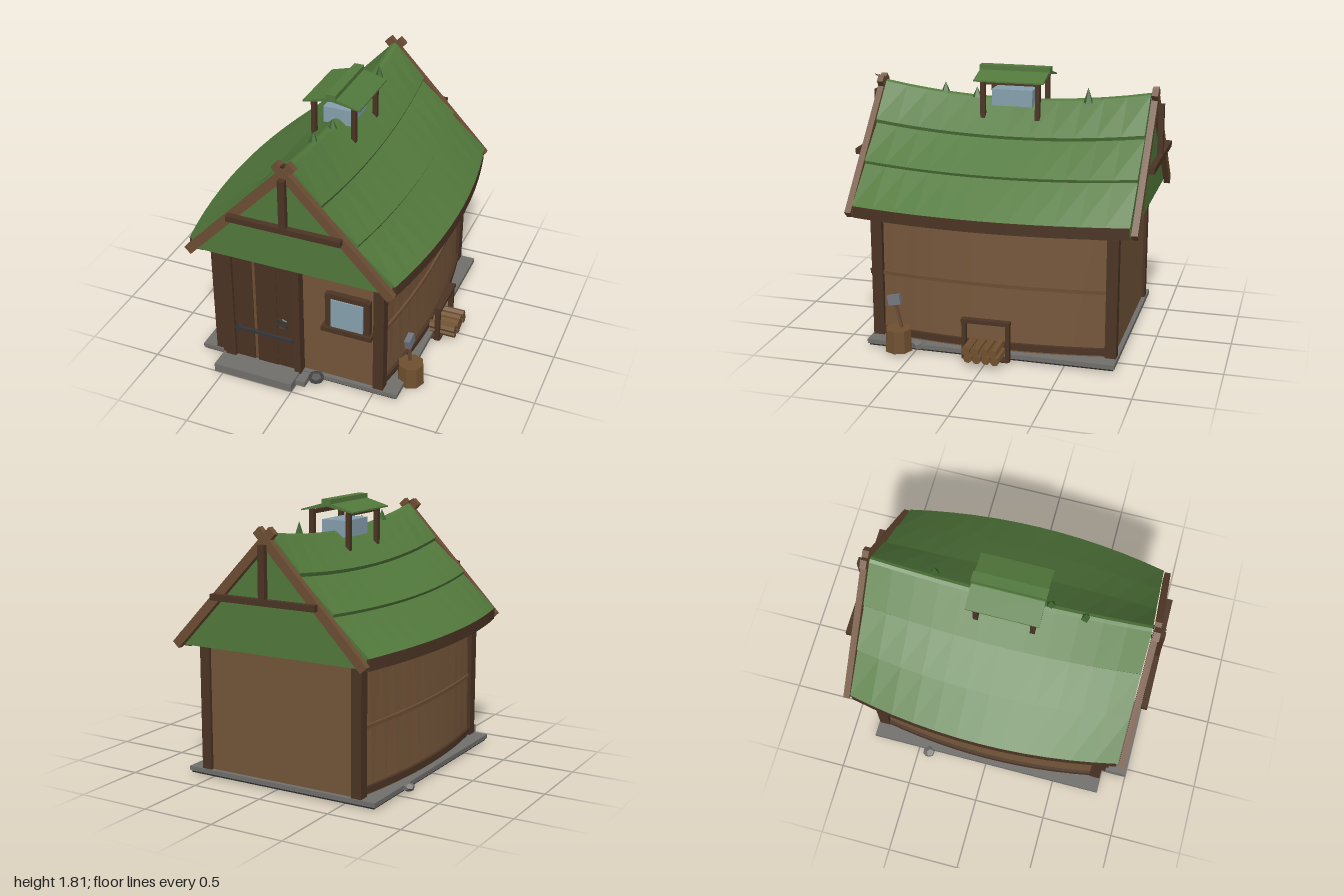
import * as THREE from 'three';

const mat = (color) => new THREE.MeshStandardMaterial({ color, flatShading: true, roughness: 0.9 });
const M = {
  moss: mat(0x52793c), mossDark: mat(0x3f6630), wall: mat(0x745539), timber: mat(0x4b3424),
  light: mat(0x6d4e34), door: mat(0x493223), stone: mat(0x716f6c), rock: mat(0x4a4a4a),
  under: mat(0x2b2a2a), glass: mat(0x86a0ae), iron: mat(0x33363a), log: mat(0x70502f), steel: mat(0x70747c),
};

function add(parent, name, geo, material, x = 0, y = 0, z = 0) {
  const m = new THREE.Mesh(geo, material);
  m.name = name;
  m.position.set(x, y, z);
  parent.add(m);
  return m;
}

// box given by its min/max on each axis
function box(parent, name, material, x0, x1, y0, y1, z0, z1) {
  return add(parent, name, new THREE.BoxGeometry(x1 - x0, y1 - y0, z1 - z0), material,
    (x0 + x1) / 2, (y0 + y1) / 2, (z0 + z1) / 2);
}

// straight beam between two points
function beam(parent, name, material, a, b, w, d) {
  const p = new THREE.Vector3(...a), q = new THREE.Vector3(...b), dir = q.clone().sub(p);
  const m = add(parent, name, new THREE.BoxGeometry(w, dir.length(), d), material);
  m.position.copy(p).add(q).multiplyScalar(0.5);
  m.quaternion.setFromUnitVectors(new THREE.Vector3(0, 1, 0), dir.normalize());
  return m;
}

// closed loft along z; section(u) gives a counterclockwise [x, y] outline, u from -1 to 1
function loft(section, zHalf, steps, centre) {
  const pos = [], idx = [];
  let n = 0;
  for (let i = 0; i <= steps; i++) {
    const u = -1 + (2 * i) / steps, s = section(u);
    n = s.length;
    s.forEach(([x, y]) => pos.push(x, y, u * zHalf));
  }
  for (let i = 0; i < steps; i++) for (let j = 0; j < n; j++) {
    const a = i * n + j, b = i * n + (j + 1) % n;
    idx.push(a, b, a + n, b, b + n, a + n);
  }
  [-1, 1].forEach((u) => {
    const c = pos.length / 3, base = u < 0 ? 0 : steps * n;
    const [cx, cy] = centre(u);
    pos.push(cx, cy, u * zHalf);
    for (let j = 0; j < n; j++) {
      const a = base + j, b = base + (j + 1) % n;
      if (u > 0) idx.push(c, a, b); else idx.push(c, b, a);
    }
  });
  const g = new THREE.BufferGeometry();
  g.setAttribute('position', new THREE.Float32BufferAttribute(pos, 3));
  g.setIndex(idx);
  const flat = g.toNonIndexed();
  flat.computeVertexNormals();
  return flat;
}

const eaveHalf = (u) => 0.8 - 0.1 * u * u;
const ridgeY = (u) => 1.59 + 0.08 * u * u;
const wallHalf = (u, y) => {
  const bow = 1 - u * u, t = y / 0.9;
  return (0.57 + 0.085 * bow) * (1 - t) + (0.555 + 0.038 * bow) * t;
};

// sagging roof with two overlapping courses on each slope
function roofSection(u) {
  const h = eaveHalf(u), r = ridgeY(u) - 0.97;
  const half = [[1, 0], [0.645, 0.315], [0.655, 0.345], [0.315, 0.635], [0.325, 0.67], [0.03, 0.985]]
    .map(([a, b]) => [a * h, 0.97 + b * r]);
  const right = [[h - 0.02, 0.9], [h - 0.02, 0.965], ...half];
  const left = right.map(([x, y]) => [-x, y]).reverse();
  return [...right, [0, ridgeY(u)], ...left];
}

function buildRoof(house) {
  add(house, 'roof', loft(roofSection, 0.905, 12, () => [0, 0.905]), M.moss);
  const fascia = loft((u) => {
    const h = eaveHalf(u);
    return [[h - 0.09, 0.893], [h, 0.893], [h, 0.968], [h - 0.09, 0.968]];
  }, 0.9, 12, (u) => [eaveHalf(u) - 0.045, 0.93]);
  for (const s of [1, -1]) add(house, 'eaveBoard', fascia, M.timber).scale.x = s;
  // gable trusses front and back
  for (const s of [1, -1]) {
    const z = 0.935 * s;
    for (const k of [1, -1])
      beam(house, 'bargeBoard', M.light, [0.69 * k, 0.905, z], [-0.055 * k, 1.685, z + 0.003 * k], 0.06, 0.042);
    box(house, 'collarBeam', M.timber, -0.38, 0.38, 1.23, 1.27, 0.978 * s - 0.02, 0.978 * s + 0.02);
    box(house, 'kingPost', M.timber, -0.023, 0.023, 1.27, 1.6, 0.975 * s - 0.018, 0.975 * s + 0.018);
    for (const k of [1, -1])
      box(house, 'ridgePeg', M.timber, 0.03 * k - 0.008, 0.03 * k + 0.008, 1.605, 1.63, 0.88 * s - 0.05, 0.88 * s + 0.05);
  }
  const finial = add(house, 'finial', new THREE.ConeGeometry(0.02, 0.08, 5), M.timber, 0, 1.685, 0.96);
  finial.rotation.x = 1.1;
  // grass tufts on the ridge
  for (const [x, y, z, h] of [[-0.01, 1.635, 0.49, 0.075], [0.02, 1.62, 0.26, 0.07], [0.04, 1.64, -0.5, 0.1]])
    add(house, 'grassTuft', new THREE.ConeGeometry(0.033, h, 5), M.mossDark, x, y, z);
}

function buildCupola(house) {
  const c = new THREE.Group();
  c.name = 'cupola';
  house.add(c);
  for (const x of [-0.138, 0.138]) {
    for (const z of [-0.185, 0.185]) box(c, 'cupolaPost', M.timber, x - 0.016, x + 0.016, 1.44, 1.73, z - 0.016, z + 0.016);
    box(c, 'cupolaRail', M.timber, x - 0.014, x + 0.014, 1.7, 1.727, -0.2, 0.2);
  }
  box(c, 'cupolaGlass', M.glass, -0.095, 0.095, 1.55, 1.66, -0.137, 0.137);
  const top = () => [[0.195, 1.722], [0.195, 1.732], [0.04, 1.775], [-0.04, 1.775], [-0.195, 1.732], [-0.195, 1.722], [0, 1.758]];
  add(c, 'cupolaRoof', loft(top, 0.235, 1, () => [0, 1.765]), M.moss);
  box(c, 'cupolaRidge', M.moss, -0.034, 0.034, 1.762, 1.806, -0.24, 0.24);
}

function buildWalls(house) {
  const section = (u) => {
    const b = wallHalf(u, 0.05), t = wallHalf(u, 0.9);
    return [[b, 0.05], [t, 0.91], [-t, 0.91], [-b, 0.05]];
  };
  add(house, 'walls', loft(section, 0.8, 12, () => [0, 0.5]), M.wall);
  // bowed rails along both side walls
  for (const [y0, y1, d, m] of [[0.07, 0.115, 0.02, M.timber], [0.478, 0.503, 0.014, M.light], [0.84, 0.89, 0.02, M.timber]]) {
    const rail = loft((u) => {
      const w = wallHalf(u * 0.95, (y0 + y1) / 2);
      return [[w - 0.03, y0], [w + d, y0], [w + d, y1], [w - 0.03, y1]];
    }, 0.76, 12, (u) => [wallHalf(u * 0.95, y0), (y0 + y1) / 2]);
    for (const s of [1, -1]) add(house, 'wallRail', rail, m).scale.x = s;
  }
  for (const x of [-0.565, 0.565]) for (const z of [-0.785, 0.785])
    box(house, 'cornerPost', M.timber, x - 0.035, x + 0.035, 0.05, 0.91, z - 0.037, z + 0.037);
  // foundation
  box(house, 'foundation', M.stone, -0.7, 0.7, 0.025, 0.055, -0.83, 0.83);
  box(house, 'foundationBottom', M.under, -0.69, 0.69, 0.012, 0.026, -0.82, 0.82);
}

function buildFront(g) {
  // door planks and frame
  const planks = [[-0.47, -0.33, 0.845], [-0.33, -0.305, 0.838], [-0.305, -0.16, 0.848], [-0.16, -0.03, 0.843]];
  planks.forEach(([a, b, z], i) => box(g, 'doorPlank', i === 1 ? M.light : M.door, a, b, 0.055, 0.895, 0.79, z));
  box(g, 'doorPost', M.timber, -0.565, -0.535, 0.05, 0.9, 0.79, 0.85);
  box(g, 'doorPost', M.timber, -0.54, -0.465, 0.05, 0.9, 0.79, 0.868);
  box(g, 'doorPost', M.timber, -0.035, 0.01, 0.05, 0.9, 0.79, 0.868);
  // iron fittings
  box(g, 'hingeStrap', M.iron, -0.45, -0.045, 0.288, 0.308, 0.84, 0.862);
  const diamond = box(g, 'hingePlate', M.iron, -0.457, -0.417, 0.278, 0.318, 0.84, 0.865);
  diamond.rotation.z = Math.PI / 4;
  add(g, 'doorRing', new THREE.TorusGeometry(0.036, 0.008, 5, 8), M.iron, -0.115, 0.42, 0.856);
  // window
  box(g, 'windowPane', M.glass, 0.22, 0.44, 0.5, 0.71, 0.79, 0.85);
  for (const x of [0.2, 0.46]) box(g, 'windowJamb', M.timber, x - 0.022, x + 0.022, 0.485, 0.74, 0.79, 0.84);
  box(g, 'windowHead', M.timber, 0.2, 0.46, 0.71, 0.745, 0.79, 0.84);
  box(g, 'windowSill', M.timber, 0.155, 0.5, 0.457, 0.49, 0.79, 0.86);
  // door step
  box(g, 'doorStep', M.stone, -0.56, 0, 0, 0.06, 0.8, 1);
  box(g, 'sideStep', M.stone, -0.02, 0.065, 0.005, 0.045, 0.8, 0.93);
}

function buildYard(g) {
  // chopping block with hatchet
  add(g, 'choppingBlock', new THREE.CylinderGeometry(0.085, 0.093, 0.15, 8), M.log, 0.685, 0.09, 0.605);
  beam(g, 'hatchetHandle', M.light, [0.67, 0.16, 0.585], [0.68, 0.37, 0.63], 0.018, 0.018);
  const head = box(g, 'hatchetHead', M.steel, 0.658, 0.698, 0.325, 0.39, 0.585, 0.67);
  head.rotation.set(0.2, 0, 0.1);
  // firewood rack
  for (const z of [-0.145, 0.145]) box(g, 'rackPost', M.timber, 0.693, 0.727, 0.02, 0.285, z - 0.014, z + 0.014);
  box(g, 'rackRail', M.timber, 0.69, 0.735, 0.268, 0.293, -0.16, 0.16);
  box(g, 'rackBase', M.timber, 0.62, 0.735, 0.02, 0.036, -0.15, 0.15);
  const log = new THREE.CylinderGeometry(0.03, 0.03, 0.18, 7).rotateZ(Math.PI / 2);
  for (let row = 0; row < 2; row++) for (let i = 0; i < 4; i++)
    add(g, 'firewood', log, M.log, 0.735 + 0.005 * (i % 2), 0.064 + row * 0.048, 0.09 - i * 0.06 + row * 0.014).rotation.x = i;
  // loose rocks
  const rocks = [[0.125, 0.065, 0.875, 0.055], [0.67, 0.055, 0.47, 0.05], [-0.745, 0.04, -0.42, 0.045]];
  rocks.forEach(([x, y, z, r], i) => {
    const m = add(g, 'rock', new THREE.DodecahedronGeometry(r), i === 0 ? M.rock : M.stone, x, y, z);
    m.scale.set(1, 0.65, 1);
    m.rotation.y = i + 0.4;
  });
}

export function createModel() {
  const model = new THREE.Group();
  model.name = 'cottage';
  const house = new THREE.Group();
  house.name = 'house';
  house.position.x = -0.03;
  model.add(house);
  buildRoof(house);
  buildCupola(house);
  buildWalls(house);
  buildFront(model);
  buildYard(model);
  return model;
}
